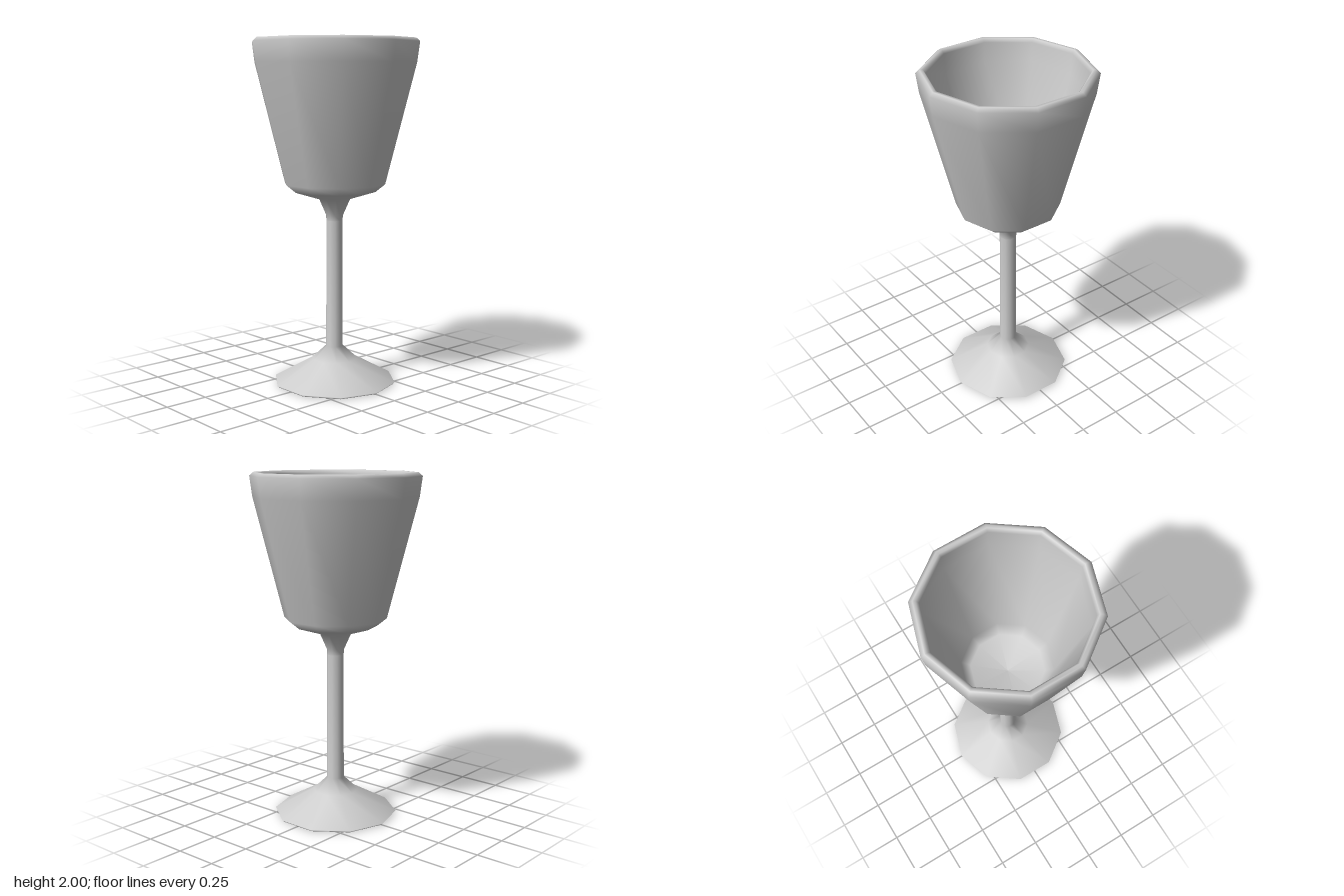
import * as THREE from 'three';

const SIDES = 10;

export function createModel() {
  const group = new THREE.Group();
  group.name = 'goblet';
  const material = new THREE.MeshStandardMaterial({ color: 0xcccccc });

  const add = (name, geometry) => {
    const mesh = new THREE.Mesh(geometry, material);
    mesh.name = name;
    group.add(mesh);
    return mesh;
  };

  // Ten-sided turned part from [radius, height] pairs, with a corner on +x
  const turned = (name, profile) => add(name, new THREE.LatheGeometry(
    profile.map(([r, y]) => new THREE.Vector2(r, y)), SIDES, Math.PI / 2));

  // Foot flaring down from the slender stem
  turned('stemAndFoot', [
    [0.35, 0], [0.36, 0.01], [0.13, 0.14], [0.05, 0.215], [0.048, 0.96],
  ]);

  // Bowl: neck, outer wall, rounded rim, then the inner wall down to the floor
  turned('bowl', [
    [0.048, 0.96], [0.05, 0.99], [0.092, 1.085], [0.24, 1.13], [0.296, 1.175],
    [0.472, 1.865], [0.487, 1.98], [0.465, 2], [0.447, 2], [0.433, 1.98],
    [0.425, 1.865], [0.262, 1.21], [0.21, 1.17], [0, 1.13],
  ]);

  // Flat underside of the foot
  add('footBase', new THREE.CircleGeometry(0.35, SIDES)).rotation.x = Math.PI / 2;

  return group;
}
